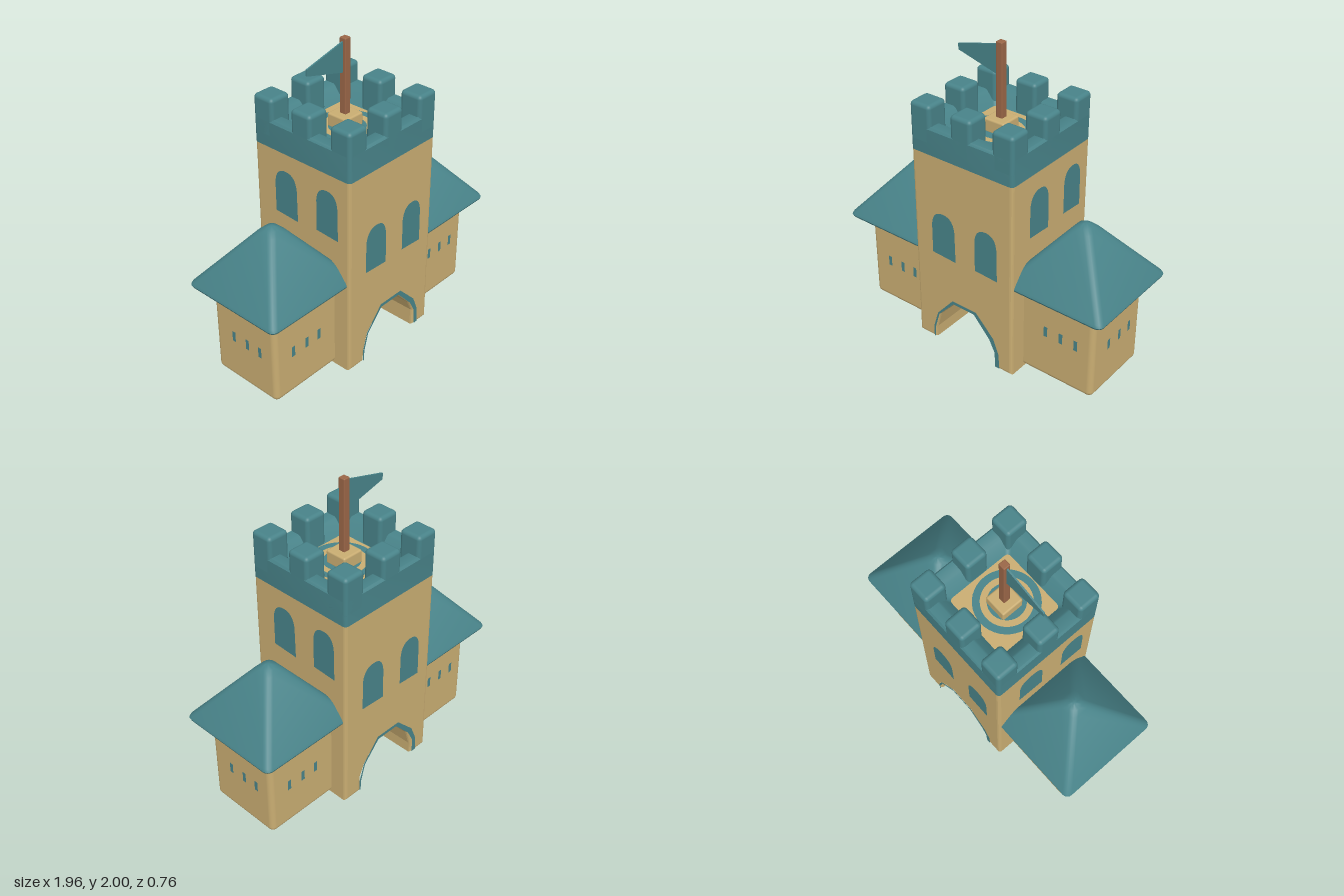
import * as THREE from 'three';
import { toCreasedNormals } from 'three/addons/utils/BufferGeometryUtils.js';
import { RoundedBoxGeometry } from 'three/addons/geometries/RoundedBoxGeometry.js';

const material = (name, color, side = THREE.FrontSide) => {
  const m = new THREE.MeshStandardMaterial({ color, side });
  m.name = name;
  return m;
};
const V = (x, y) => new THREE.Vector2(x, y);

// Turned profile whose cross-section is a square with rounded corners
function squareLathe(profile, corner) {
  const steps = 4, n = profile.length;
  const geo = new THREE.LatheGeometry(profile.map(([x, y]) => V(x, y)), 4 * (steps + 1));
  const pos = geo.attributes.position;
  for (let v = 0; v < pos.count; v++) {
    const i = Math.floor(v / n), r = profile[v % n][0], c = Math.min(corner, r);
    const k = Math.floor(i / (steps + 1)) % 4;
    const a = (k + (i % (steps + 1)) / steps) * Math.PI / 2;
    const mid = (k + 0.5) * Math.PI / 2;
    pos.setX(v, Math.sign(Math.sin(mid)) * (r - c) + c * Math.sin(a));
    pos.setZ(v, Math.sign(Math.cos(mid)) * (r - c) + c * Math.cos(a));
  }
  return toCreasedNormals(geo.toNonIndexed(), 0.6);
}

// Round-topped window outline, standing on y = 0
function windowShape(w, h) {
  const s = new THREE.Shape(), spring = h - w * 0.55;
  s.moveTo(-w / 2, 0.01);
  s.lineTo(w / 2, 0);
  s.lineTo(w * 0.48, spring);
  s.bezierCurveTo(w * 0.44, h * 0.93, w * 0.25, h, 0, h);
  s.bezierCurveTo(-w * 0.25, h, -w * 0.46, h * 0.93, -w * 0.5, spring);
  return s;
}

export function createModel() {
  const stone = material('sand stone', 0xc9ad72);
  const teal = material('teal', 0x488389);
  const cloth = material('teal cloth', 0x488389, THREE.DoubleSide);
  const wood = material('brown wood', 0x9a6647);
  const model = new THREE.Group();
  model.name = 'castle';

  const add = (parent, name, geo, mat, x = 0, y = 0, z = 0) => {
    const mesh = new THREE.Mesh(geo, mat);
    mesh.name = name;
    mesh.position.set(x, y, z);
    parent.add(mesh);
    return mesh;
  };
  const addGroup = (name, turn) => {
    const g = new THREE.Group();
    g.name = name;
    g.rotation.y = turn;
    model.add(g);
    return g;
  };

  // Tower body with the gateway cut right through
  const arch = [[-0.237, 0], [-0.235, 0.08], [-0.2, 0.2], [-0.08, 0.33],
    [0.08, 0.33], [0.2, 0.2], [0.235, 0.12], [0.237, 0]];
  const outline = [[0.375, 0], [0.375, 1.37], [-0.375, 1.37], [-0.375, 0], ...arch];
  const body = new THREE.ExtrudeGeometry(new THREE.Shape(outline.map(([x, y]) => V(x, y))), {
    depth: 0.71, bevelSize: 0.02, bevelThickness: 0.02, bevelOffset: -0.02, bevelSegments: 3,
  });
  add(model, 'towerBody', toCreasedNormals(body, 0.25), stone, 0, 0, -0.355);

  // Painted gateway trim, wider on one foot
  const trimInner = [[-0.24, 0.01], [-0.238, 0.08], [-0.203, 0.203], [-0.082, 0.336],
    [0.082, 0.336], [0.203, 0.203], [0.245, 0.12], [0.25, 0.01]];
  const trimOuter = [[-0.25, 0.01], [-0.25, 0.09], [-0.213, 0.21], [-0.088, 0.358],
    [0.1, 0.358], [0.235, 0.22], [0.275, 0.12], [0.283, 0.01]];
  const trim = new THREE.ShapeGeometry(
    new THREE.Shape([...trimOuter, ...trimInner.reverse()].map(([x, y]) => V(x, y))));

  // Windows: front and back sit lower, the two sides higher
  for (let side = 0; side < 4; side++) {
    const wall = addGroup(['front', 'left', 'back', 'right'][side] + 'Wall', side * Math.PI / 2);
    if (side % 2 === 0) {
      add(wall, 'gateTrim', trim, teal, 0, 0, 0.378);
      add(wall, 'window', new THREE.ShapeGeometry(windowShape(0.18, 0.31)), teal, -0.143, 0.665, 0.379);
      add(wall, 'window', new THREE.ShapeGeometry(windowShape(0.168, 0.315)), teal, 0.182, 0.665, 0.379);
    } else {
      add(wall, 'window', new THREE.ShapeGeometry(windowShape(0.18, 0.31)), teal, -0.122, 0.925, 0.379);
      add(wall, 'window', new THREE.ShapeGeometry(windowShape(0.168, 0.31)), teal, 0.205, 0.93, 0.379);
    }
  }

  // Parapet with sloping inner face, and its merlons
  add(model, 'parapet', squareLathe([[0.36, 1.35], [0.377, 1.35], [0.377, 1.515], [0.365, 1.53],
    [0.3, 1.53], [0.285, 1.52], [0.22, 1.435]], 0.025), teal);
  const merlon = new RoundedBoxGeometry(0.152, 0.26, 0.152, 3, 0.025);
  for (const x of [-1, 0, 1]) for (const z of [-1, 0, 1]) {
    if (x || z) add(model, 'merlon', merlon, teal, x * 0.301, 1.532, z * 0.301);
  }

  // Roof deck with painted rings
  add(model, 'roofDeck', new THREE.BoxGeometry(0.46, 0.07, 0.46), stone, 0, 1.405, 0);
  for (const [a, b] of [[0.155, 0.2], [0.05, 0.115]]) {
    const ring = add(model, 'deckRing', new THREE.RingGeometry(a, b, 40), teal, 0, 1.443, 0.018);
    ring.rotation.x = -Math.PI / 2;
  }

  // Flagpole and pennant
  add(model, 'poleBase', new RoundedBoxGeometry(0.15, 0.09, 0.15, 2, 0.012), stone, 0, 1.48, 0);
  add(model, 'flagpole', new RoundedBoxGeometry(0.046, 0.5, 0.046, 2, 0.006), wood, 0, 1.75, 0);
  const pennant = new THREE.Shape([V(-0.015, 1.785), V(-0.015, 1.98), V(-0.315, 1.905), V(-0.315, 1.865)]);
  add(model, 'flag', new THREE.ExtrudeGeometry(pennant, { depth: 0.01, bevelEnabled: false }), cloth, 0, 0, -0.005);

  // Side wings, one being the other turned half round
  const wingBody = new RoundedBoxGeometry(0.56, 0.64, 0.51, 4, 0.035);
  const wingRoof = squareLathe([[0, 0.625], [0.335, 0.625], [0.35, 0.63], [0.355, 0.642], [0.348, 0.658],
    [0.07, 1.0], [0.045, 1.022], [0.018, 1.037], [0, 1.04]], 0.04);
  const slit = new THREE.PlaneGeometry(0.026, 0.072);
  for (const [name, turn] of [['leftWing', 0], ['rightWing', Math.PI]]) {
    const wing = addGroup(name, turn);
    add(wing, 'wingBody', wingBody, stone, 0.6, 0.33, 0);
    add(wing, 'wingRoof', wingRoof, teal, 0.625, 0, 0);
    for (const x of [0.54, 0.65, 0.757]) add(wing, 'frontSlit', slit, teal, x, 0.355, 0.258);
    for (const x of [0.515, 0.62, 0.732]) {
      add(wing, 'backSlit', slit, teal, x, 0.32, -0.258).rotation.y = Math.PI;
    }
    for (const z of [0.09, -0.025, -0.13]) {
      add(wing, 'sideSlit', slit, teal, 0.883, 0.33, z).rotation.y = Math.PI / 2;
    }
  }
  return model;
}
